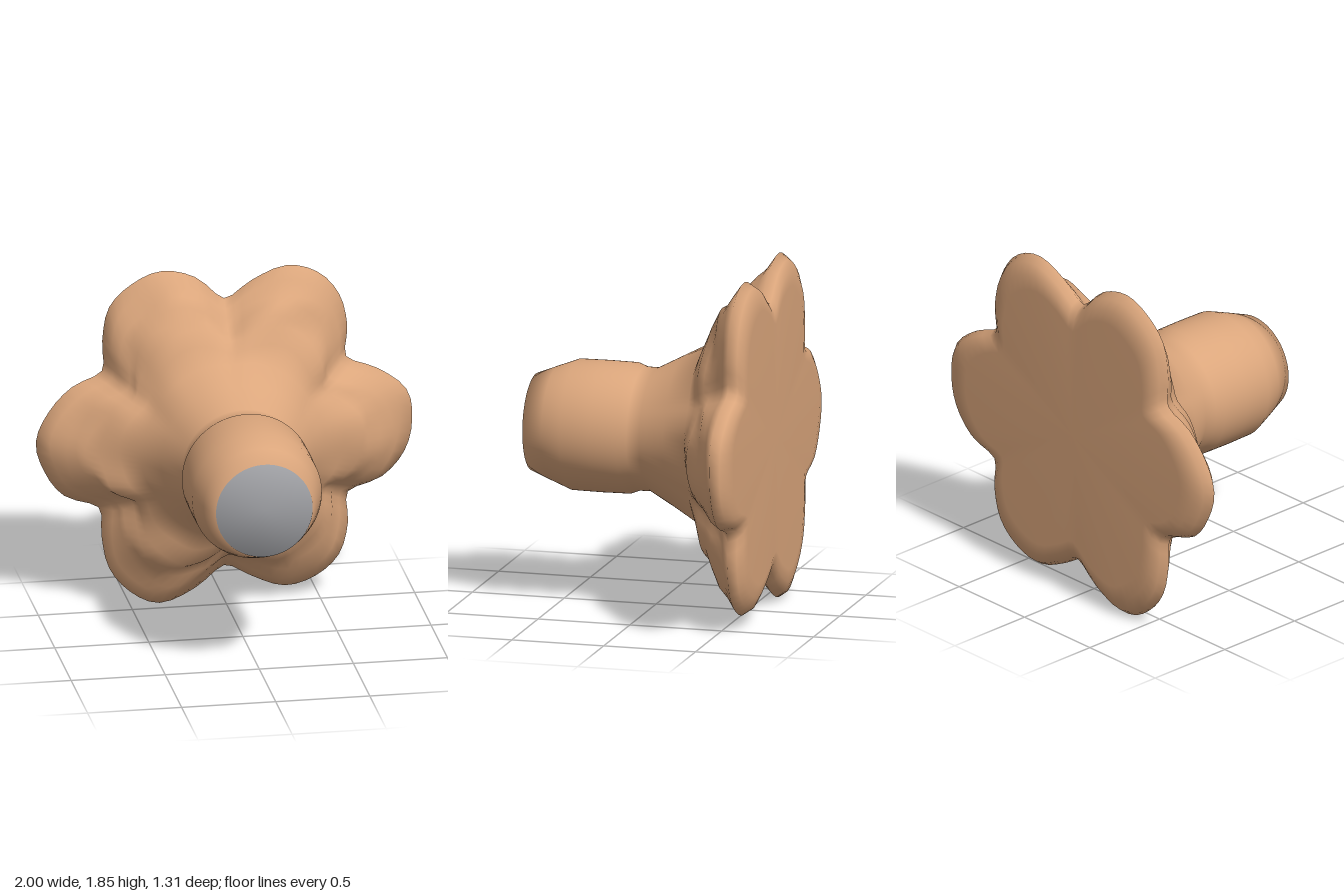
import * as THREE from 'three';

const SEGMENTS = 108;
const CENTRE_Y = 0.94;

// Rim radius every 10 degrees, counter-clockwise from +x: six uneven lobes
const RIM = [
  1.0, 0.985, 0.87, 0.75, 0.855, 0.95, 0.99, 0.96, 0.845,
  0.74, 0.88, 0.97, 0.98, 0.95, 0.845, 0.75, 0.86, 0.945,
  1.0, 0.97, 0.905, 0.77, 0.85, 0.95, 1.0, 1.0, 0.88,
  0.75, 0.83, 0.94, 0.97, 0.95, 0.86, 0.76, 0.895, 0.975,
];

// Cross-sections from front to back: z, radius, lobe strength, ripple
const RINGS = [
  [0.655, 0.257, 0, 0],
  [0.54, 0.303, 0, 0],
  [0.43, 0.345, 0, 0],
  [0.27, 0.347, 0, 0],
  [0.12, 0.345, 0, 0],
  [0.07, 0.326, 0, 0],
  [0, 0.325, 0, 0],
  [-0.15, 0.408, 0.05, 0],
  [-0.29, 0.49, 0.15, 0.2],
  [-0.335, 0.6, 0.5, 0.6],
  [-0.375, 0.7, 0.75, 1],
  [-0.415, 0.75, 0.85, 1],
  [-0.45, 0.81, 0.9, 1],
  [-0.49, 0.865, 0.95, 0.9],
  [-0.53, 0.93, 1, 0.6],
  [-0.575, 1.0, 1, 0],
  [-0.62, 0.965, 1, 0],
  [-0.645, 0.9, 1, 0],
  [-0.655, 0.82, 1, 0],
];

// Cubic interpolation round the closed rim
function rimRadius(angle) {
  const t = (angle / (Math.PI * 2)) * RIM.length;
  const i = Math.floor(t);
  const f = t - i;
  const at = (k) => RIM[(k + RIM.length) % RIM.length];
  const [a, b, c, d] = [at(i - 1), at(i), at(i + 1), at(i + 2)];
  return b + 0.5 * f * (c - a + f * (2 * a - 5 * b + 4 * c - d + f * (3 * (b - c) + d - a)));
}

export function createModel() {
  const positions = [];
  RINGS.forEach(([z, radius, lobe, ripple], i) => {
    for (let j = 0; j < SEGMENTS; j++) {
      const angle = (j / SEGMENTS) * Math.PI * 2;
      // Shallow folds that shift from one section to the next
      const fold = Math.sin(7 * angle + i * 2.1) + 0.6 * Math.sin(13 * angle - i * 1.3);
      const r = radius * (1 + (rimRadius(angle) - 1) * lobe) * (1 + 0.014 * ripple * fold);
      const dz = 0.012 * ripple * Math.sin(9 * angle + i * 0.8);
      positions.push(r * Math.cos(angle), CENTRE_Y + r * Math.sin(angle), z + dz);
    }
  });
  const frontCentre = positions.length / 3;
  const backCentre = frontCentre + 1;
  positions.push(0, CENTRE_Y, RINGS[0][0], 0, CENTRE_Y, RINGS[RINGS.length - 1][0]);

  const bodyIndex = [];
  const faceIndex = [];
  const last = (RINGS.length - 1) * SEGMENTS;
  for (let j = 0; j < SEGMENTS; j++) {
    const k = (j + 1) % SEGMENTS;
    for (let row = 0; row < last; row += SEGMENTS) {
      const next = row + SEGMENTS;
      bodyIndex.push(row + j, next + j, row + k, row + k, next + j, next + k);
    }
    bodyIndex.push(backCentre, last + k, last + j);
    faceIndex.push(frontCentre, j, k);
  }

  // Shared normals let the shading roll smoothly over both ends
  const bodyGeometry = new THREE.BufferGeometry();
  bodyGeometry.setAttribute('position', new THREE.Float32BufferAttribute(positions, 3));
  bodyGeometry.setIndex([...bodyIndex, ...faceIndex]);
  bodyGeometry.computeVertexNormals();
  const faceGeometry = bodyGeometry.clone();
  bodyGeometry.setIndex(bodyIndex);
  faceGeometry.setIndex(faceIndex);

  const tan = new THREE.MeshStandardMaterial({ color: 0xdba67c });
  tan.name = 'tan';
  const grey = new THREE.MeshStandardMaterial({ color: 0xa0a1a5 });
  grey.name = 'grey';

  // Neck flaring into the lobed base
  const body = new THREE.Mesh(bodyGeometry, tan);
  body.name = 'flaredBody';
  // Round end of the neck
  const face = new THREE.Mesh(faceGeometry, grey);
  face.name = 'frontFace';

  const group = new THREE.Group();
  group.name = 'lobedFlare';
  group.add(body, face);
  return group;
}
